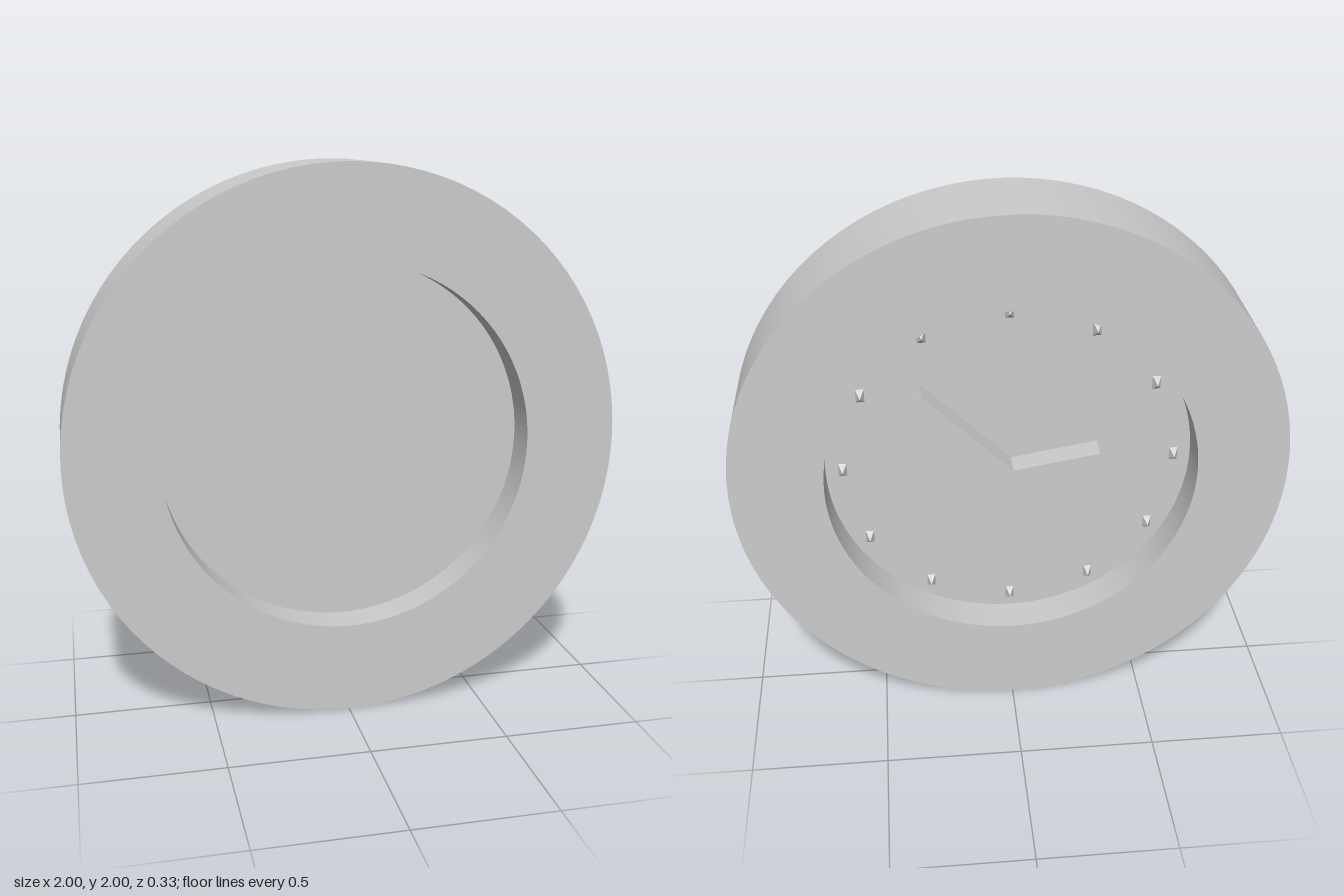
import * as THREE from 'three';
import { toCreasedNormals } from 'three/addons/utils/BufferGeometryUtils.js';

const R = 1, INNER = 0.667, HALF = 0.167, FACE = 0.033; // radii and half depths
const SEGMENTS = 96;

export function createModel() {
  const group = new THREE.Group();
  const material = new THREE.MeshStandardMaterial({ color: 0xcccccc });

  const add = (name, geometry, parent = group) => {
    const mesh = new THREE.Mesh(geometry, material);
    mesh.name = name;
    parent.add(mesh);
    return mesh;
  };

  // Thick round rim: rectangular section turned about the z axis
  const section = [[INNER, -HALF], [R, -HALF], [R, HALF], [INNER, HALF], [INNER, -HALF]]
    .map(([x, y]) => new THREE.Vector2(x, y));
  const rim = toCreasedNormals(new THREE.LatheGeometry(section, SEGMENTS), 0.6);
  add('rim', rim.rotateX(Math.PI / 2));

  // Recessed disc closing the rim
  const disc = new THREE.CylinderGeometry(INNER, INNER, FACE * 2, SEGMENTS);
  add('dial', disc.rotateX(Math.PI / 2));

  // Hands: thin upright bars from the centre of the dial, on the -z side
  const addHand = (name, length, angle) => {
    const width = 0.033, depth = 0.09;
    const bar = new THREE.BoxGeometry(length, width, depth);
    bar.translate(length / 2, 0, -FACE - depth / 2);
    add(name, bar).rotation.z = angle;
  };
  addHand('longHand', 0.46, Math.PI / 4);
  addHand('shortHand', 0.325, Math.PI - 0.17);

  // Twelve small upright pyramids as hour marks
  const marks = new THREE.Group();
  marks.name = 'hourMarks';
  group.add(marks);
  const height = 0.03;
  const pyramid = new THREE.ConeGeometry(Math.SQRT1_2, height, 4, 1).toNonIndexed();
  pyramid.rotateY(Math.PI / 4).rotateX(-Math.PI / 2).scale(0.03, 0.05, 1);
  pyramid.computeVertexNormals();
  for (let i = 0; i < 12; i++) {
    const a = (i / 12) * Math.PI * 2;
    add('hourMark', pyramid, marks)
      .position.set(Math.sin(a) * 0.605, Math.cos(a) * 0.605, -FACE - height / 2);
  }

  group.children.forEach((part) => { part.position.y += R; });
  return group;
}
